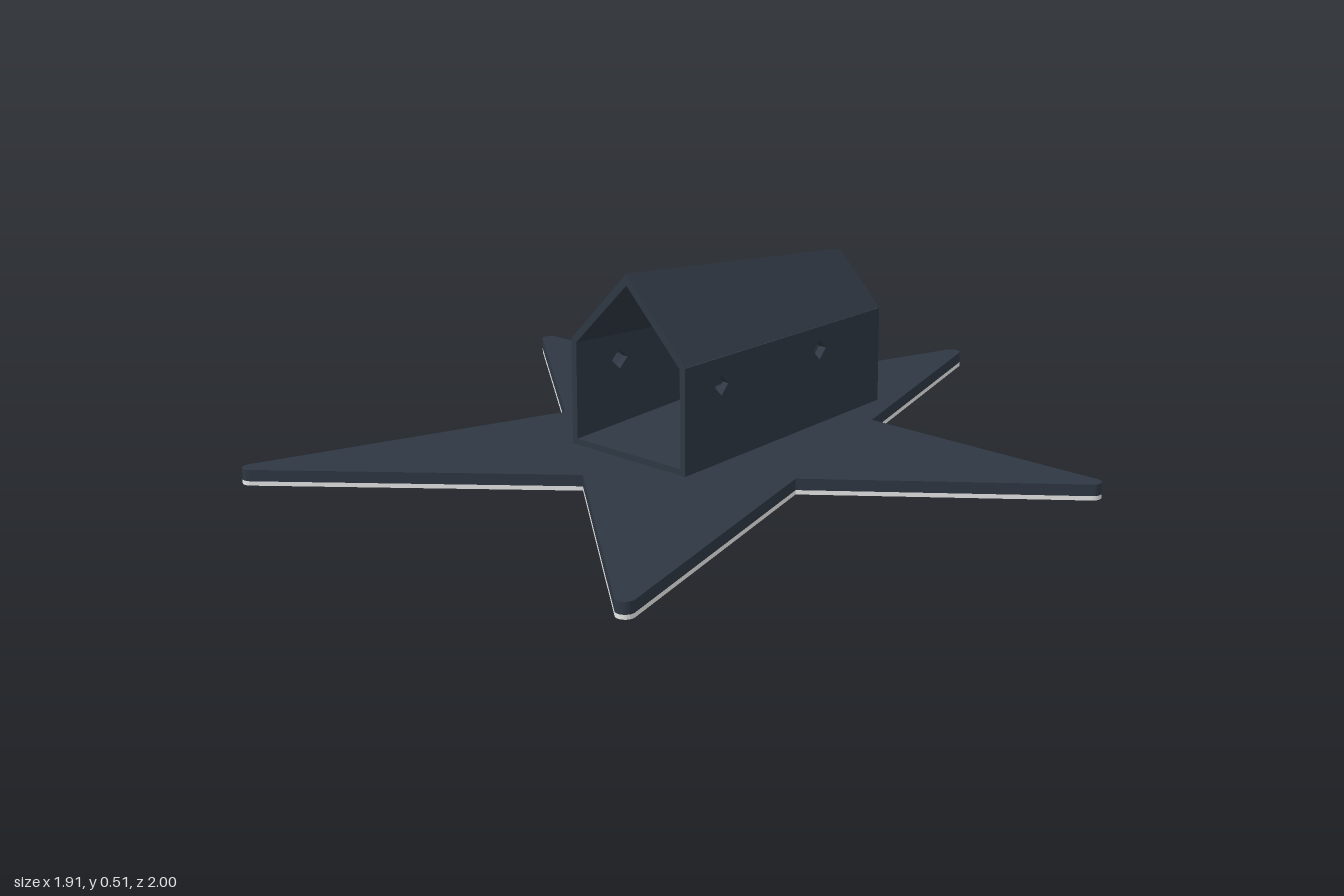
import * as THREE from 'three';

const FRONT = 0.32, BACK = -0.48, MID = 0.03;

// Star outline in (x, z) with rounded tips, scaled by k about its middle
function starPoints(k) {
  const tips = [[0.93, -0.312], [0.635, 0.976], [-0.635, 0.976], [-0.93, -0.312], [0, -0.976]];
  const notches = [[0.395, 0.15], [0, 0.475], [-0.395, 0.15], [-0.235, -0.334], [0.235, -0.334]];
  const pts = [];
  tips.forEach((t, i) => {
    const tip = new THREE.Vector2(...t);
    const before = new THREE.Vector2(...notches[(i + 4) % 5]);
    const after = new THREE.Vector2(...notches[i]);
    const dir = tip.clone().sub(before).normalize().add(tip.clone().sub(after).normalize());
    const mid = Math.atan2(dir.y, dir.x);
    for (let j = 0; j <= 8; j++) {
      const a = mid + (j / 8 - 0.5) * 2.45;
      pts.push(new THREE.Vector2(tip.x + 0.023 * Math.cos(a), tip.y + 0.023 * Math.sin(a)));
    }
    pts.push(after);
  });
  return pts.map(p => new THREE.Vector2(p.x * k, MID + (p.y - MID) * k));
}

// Flat star (or star ring when inner > 0) between two heights
function starSlab(outer, inner, y0, y1) {
  const shape = new THREE.Shape(starPoints(outer));
  if (inner > 0) shape.holes.push(new THREE.Path(starPoints(inner)));
  const geo = new THREE.ExtrudeGeometry(shape, { depth: y1 - y0, bevelEnabled: false });
  return geo.rotateX(Math.PI / 2).translate(0, y1, 0);
}

// Solid between a front and a back four-sided section, anticlockwise seen from the front
function loft(front, back) {
  const f = front.map(p => [...p, FRONT]), b = back.map(p => [...p, BACK]);
  const pos = [];
  const quad = (p, q, r, s) => pos.push(...p, ...q, ...r, ...p, ...r, ...s);
  quad(...f);
  quad(b[3], b[2], b[1], b[0]);
  for (let i = 0; i < 4; i++) {
    const j = (i + 1) % 4;
    quad(f[i], b[i], b[j], f[j]);
  }
  const geo = new THREE.BufferGeometry();
  geo.setAttribute('position', new THREE.Float32BufferAttribute(pos, 3));
  geo.computeVertexNormals();
  return geo;
}

// Tapering side wall with two diamond holes; side is +1 or -1
function wall(side) {
  const at = (z, y) => new THREE.Vector2(-side * z, y);
  const shape = new THREE.Shape([at(FRONT, 0.04), at(BACK, 0.04), at(BACK, 0.29), at(FRONT, 0.31)]);
  for (const z of [0.18, -0.22]) {
    const r = 0.026, y = 0.236;
    shape.holes.push(new THREE.Path([at(z + r, y), at(z, y + r), at(z - r, y), at(z, y - r)]));
  }
  const geo = new THREE.ExtrudeGeometry(shape, { depth: 1, bevelEnabled: false });
  const p = geo.attributes.position;
  for (let i = 0; i < p.count; i++) {
    const z = -side * p.getX(i), w = p.getZ(i);
    const t = (FRONT - z) / (FRONT - BACK);
    const x = THREE.MathUtils.lerp(THREE.MathUtils.lerp(0.175, 0.11, t), THREE.MathUtils.lerp(0.192, 0.135, t), w);
    p.setXYZ(i, side * x, p.getY(i), z);
  }
  geo.computeVertexNormals();
  return geo;
}

// Half of the pitched roof
function roof(side) {
  const front = [[0, 0.48], [0.175, 0.305], [0.192, 0.313], [0, 0.51]];
  const back = [[0, 0.395], [0.11, 0.28], [0.135, 0.292], [0, 0.428]];
  const place = s => {
    const m = s.map(([x, y]) => [side * x, y]);
    return side > 0 ? m : m.reverse();
  };
  return loft(place(front), place(back));
}

export function createModel() {
  const slate = new THREE.MeshStandardMaterial({ color: 0x2e3743 });
  slate.name = 'darkSlate';
  const pale = new THREE.MeshStandardMaterial({ color: 0xf2f2f2 });
  pale.name = 'paleUnderside';

  const model = new THREE.Group();
  model.name = 'starWithTunnel';
  const add = (name, geo, mat, parent = model) => {
    const mesh = new THREE.Mesh(geo, mat);
    mesh.name = name;
    parent.add(mesh);
  };

  // Star base with concentric pale rings beneath
  add('starPlate', starSlab(1, 0, 0.011, 0.04), slate);
  [[1, 0.78], [0.74, 0.5], [0.46, 0.19]].forEach(([o, i], n) =>
    add('undersideRing' + (n + 1), starSlab(o, i, 0, 0.011), pale));

  // House-shaped tunnel, narrowing to the back over a rising floor
  const house = new THREE.Group();
  house.name = 'tunnel';
  model.add(house);
  for (const side of [1, -1]) {
    const label = side > 0 ? 'left' : 'right';
    add(label + 'Wall', wall(side), slate, house);
    add(label + 'Roof', roof(side), slate, house);
  }
  add('floor', loft(
    [[-0.18, 0.035], [0.18, 0.035], [0.18, 0.056], [-0.18, 0.056]],
    [[-0.12, 0.035], [0.12, 0.035], [0.12, 0.125], [-0.12, 0.125]]), slate, house);
  return model;
}
